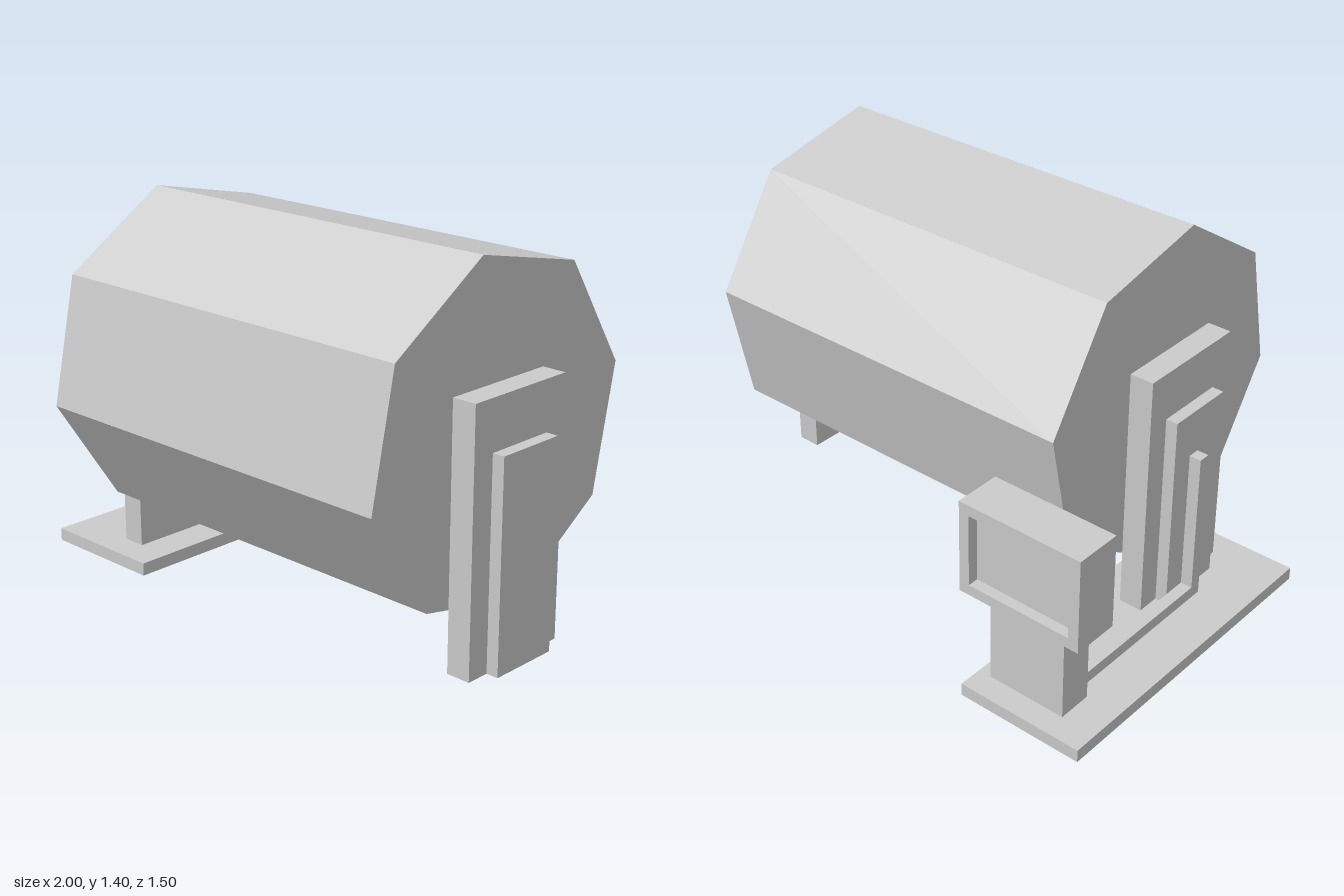
import * as THREE from 'three';

export function createModel() {
  const model = new THREE.Group();
  const material = new THREE.MeshStandardMaterial({ color: 0xcccccc, flatShading: true });

  function add(name, geometry, parent = model) {
    const mesh = new THREE.Mesh(geometry, material);
    mesh.name = name;
    parent.add(mesh);
    return mesh;
  }

  // Box given by its limits on each axis
  function box(name, [x0, x1], [y0, y1], [z0, z1], parent) {
    const mesh = add(name, new THREE.BoxGeometry(x1 - x0, y1 - y0, z1 - z0), parent);
    mesh.position.set((x0 + x1) / 2, (y0 + y1) / 2, (z0 + z1) / 2);
    return mesh;
  }

  // Eight-sided drum lying along x, turned slightly about its axis
  const drumGeometry = new THREE.CylinderGeometry(0.612, 0.612, 1.51, 8, 1, false, THREE.MathUtils.degToRad(34.4));
  drumGeometry.rotateZ(Math.PI / 2);
  add('drum', drumGeometry).position.set(0.11, 0.8, 0.147);

  // Stepped support at each end of the drum
  for (const [side, inner, middle, outer] of [['left', 0.865, 0.955, 1], ['right', -0.645, -0.735, -0.78]]) {
    const span = (a, b) => [Math.min(a, b), Math.max(a, b)];
    box(side + 'Support', span(inner, middle), [0.05, 0.98], [-0.055, 0.388]);
    box(side + 'SupportPanel', span(middle, outer), [0.05, 0.8], [0.033, 0.3]);
  }

  // Floor plate under the right support and the console
  box('basePlate', [-1, -0.512], [0, 0.048], [-0.747, 0.493]);

  // Conduit from the console along the floor and up the support
  const conduit = new THREE.Group();
  conduit.name = 'conduit';
  model.add(conduit);
  box('conduitRun', [-0.825, -0.78], [0.048, 0.092], [-0.527, 0.12], conduit);
  box('conduitRiser', [-0.825, -0.78], [0.048, 0.63], [0.12, 0.165], conduit);

  // Control console: post, head and a rim around the sunken screen
  const consoleGroup = new THREE.Group();
  consoleGroup.name = 'console';
  model.add(consoleGroup);
  box('consolePost', [-0.866, -0.56], [0.048, 0.393], [-0.657, -0.527], consoleGroup);
  const rimDepth = 0.04, width = 0.486, height = 0.353, margin = 0.04;
  box('consoleHead', [-0.956, -0.47], [0.393, 0.746], [-0.704 + rimDepth, -0.527], consoleGroup);

  const rectangle = (target, w, h) => {
    target.moveTo(-w / 2, -h / 2).lineTo(w / 2, -h / 2).lineTo(w / 2, h / 2).lineTo(-w / 2, h / 2).closePath();
    return target;
  };
  const rimShape = rectangle(new THREE.Shape(), width, height);
  rimShape.holes.push(rectangle(new THREE.Path(), width - 2 * margin, height - 2 * margin));
  add('screenRim', new THREE.ExtrudeGeometry(rimShape, { depth: rimDepth, bevelEnabled: false }), consoleGroup)
    .position.set(-0.713, 0.5695, -0.704);

  return model;
}
